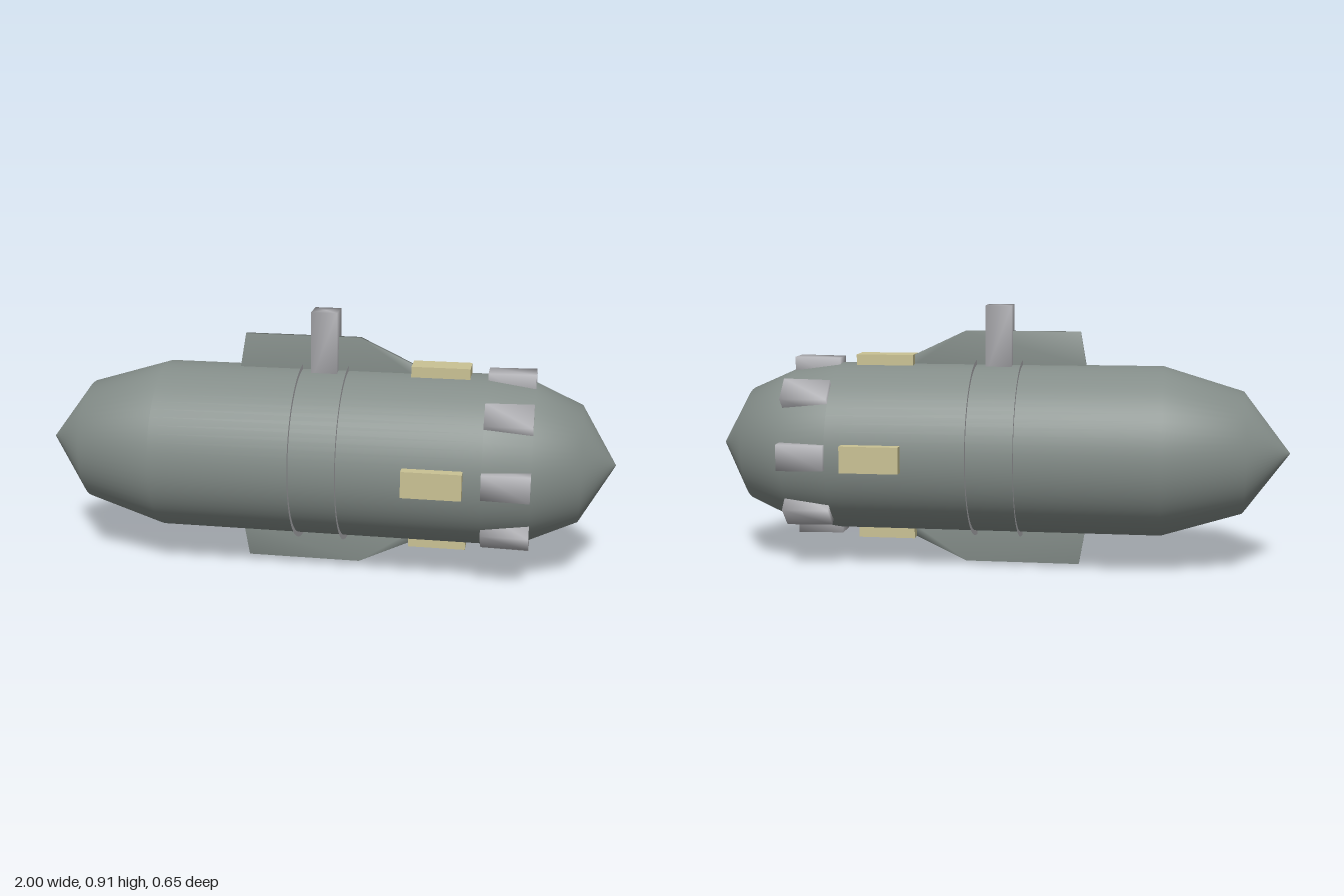
import * as THREE from 'three';
import { mergeVertices } from 'three/addons/utils/BufferGeometryUtils.js';

const AXIS_Y = 0.41;

// Shares the corner vertices so that shading runs softly over the edges
function soften(geometry) {
  geometry.deleteAttribute('normal');
  geometry.deleteAttribute('uv');
  const merged = mergeVertices(geometry, 1e-4);
  merged.computeVertexNormals();
  return merged;
}

export function createModel() {
  const model = new THREE.Group();
  model.name = 'submersible';
  const body = new THREE.Group();
  body.name = 'body';
  body.position.y = AXIS_Y;
  model.add(body);

  const hullGreen = new THREE.MeshStandardMaterial({ color: 0x848d89 });
  hullGreen.name = 'hull grey green';
  const lightGrey = new THREE.MeshStandardMaterial({ color: 0xb4b4b8, side: THREE.DoubleSide });
  lightGrey.name = 'light grey';
  const tan = new THREE.MeshStandardMaterial({ color: 0xcac294 });
  tan.name = 'pale tan';

  const add = (name, geometry, material) => {
    const mesh = new THREE.Mesh(geometry, material);
    mesh.name = name;
    body.add(mesh);
    return mesh;
  };

  // Closed hull, turned about x from [x, radius] pairs
  const profile = [
    [-1, 0], [-0.84, 0.21], [-0.565, 0.293], [0.56, 0.293], [0.72, 0.271], [0.88, 0.2], [1, 0],
  ].map(([x, r]) => new THREE.Vector2(r, x));
  add('hull', new THREE.LatheGeometry(profile, 64).rotateZ(-Math.PI / 2), hullGreen);

  // Two thin flanges around the middle
  for (const x of [-0.08, 0.08]) {
    const flange = new THREE.RingGeometry(0.285, 0.31, 64).rotateY(Math.PI / 2);
    add('flange', flange, lightGrey).position.x = x;
  }

  // Upper and lower fins
  const fin = new THREE.Shape([
    [-0.3, 0.25], [-0.3, 0.295], [-0.28, 0.41], [0.12, 0.41], [0.3, 0.325], [0.36, 0.25],
  ].map(([x, y]) => new THREE.Vector2(x, y)));
  for (const [name, turn] of [['upperFin', 0], ['lowerFin', Math.PI]]) {
    const plate = new THREE.ExtrudeGeometry(fin, { depth: 0.016, bevelEnabled: false });
    add(name, soften(plate.translate(0, 0, -0.008)), hullGreen).rotation.x = turn;
  }

  // Four-sided mast
  const mast = new THREE.CylinderGeometry(0.0636, 0.0636, 0.24, 4).rotateY(Math.PI / 4);
  add('mast', soften(mast), lightGrey).position.y = 0.38;

  // Side blocks, four around the hull
  for (let i = 0; i < 4; i++) {
    const block = new THREE.BoxGeometry(0.2, 0.06, 0.09).translate(0.4, 0.296, 0);
    add('sideBlock', block, tan).rotation.x = (i * Math.PI) / 2;
  }

  // Slightly tapered four-sided pods, eight around the bow
  for (let i = 0; i < 8; i++) {
    const pod = new THREE.CylinderGeometry(0.0636, 0.0605, 0.16, 4)
      .rotateY(Math.PI / 4)
      .rotateZ(-Math.PI / 2)
      .translate(0.64, 0.27, 0);
    add('bowPod', soften(pod), lightGrey).rotation.x = (i * Math.PI) / 4;
  }

  return model;
}
